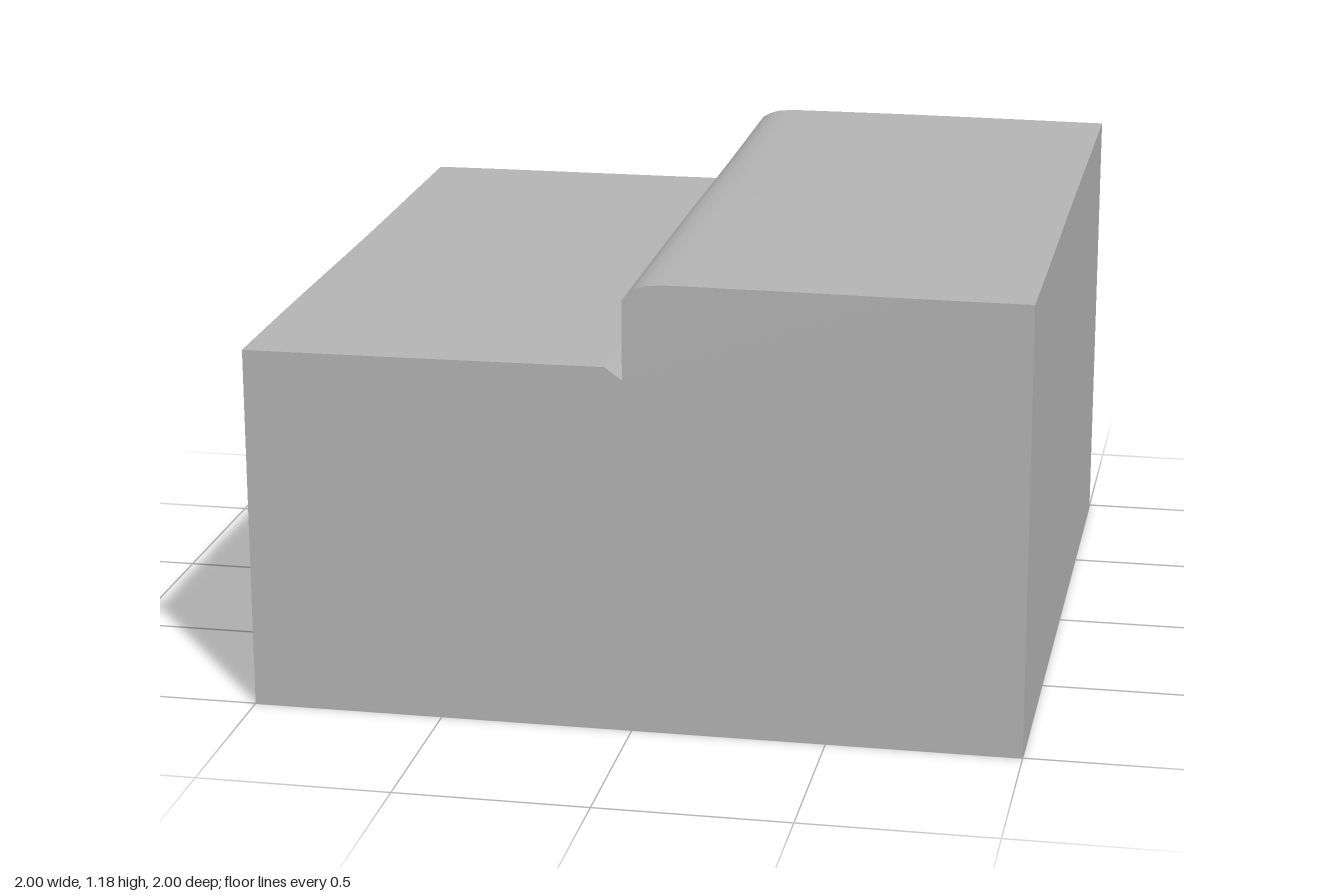
import * as THREE from 'three';
import { toCreasedNormals } from 'three/addons/utils/BufferGeometryUtils.js';

// gentle undulation of the upper surfaces
const wave = (x, z) =>
  0.003 * Math.sin(2.6 * x + 2.2 * z + 0.4) * Math.cos(1.7 * z - 1.3 * x);

export function createModel() {
  const model = new THREE.Group();
  model.name = 'steppedBlock';
  const grey = new THREE.MeshStandardMaterial({ color: 0xb4b4b4 });
  grey.name = 'plain grey';

  // cross-section: base, high deck, rounded lip, wall, groove, low deck
  const points = [[-1, 0], [1, 0]];
  for (let i = 0; i <= 12; i++) points.push([1 - (i / 12) * 0.92, 1.182]);
  points.push([0.04, 1.178], [0.015, 1.17], [-0.005, 1.158], [-0.02, 1.138]);
  points.push([-0.02, 0.933], [-0.065, 0.965]);
  for (let i = 1; i <= 12; i++) {
    const t = i / 12;
    points.push([-0.065 - t * 0.935, 0.965 - 0.006 * t * t]);
  }
  const shape = new THREE.Shape(points.map(([x, y]) => new THREE.Vector2(x, y)));

  // sweep along z, then ripple everything above the base
  const geometry = new THREE.ExtrudeGeometry(shape, { depth: 2, steps: 28, bevelEnabled: false });
  geometry.translate(0, 0, -1);
  const p = geometry.attributes.position;
  for (let i = 0; i < p.count; i++) {
    if (p.getY(i) > 0.5) p.setY(i, p.getY(i) + wave(p.getX(i), p.getZ(i)));
  }
  geometry.clearGroups();
  const block = new THREE.Mesh(toCreasedNormals(geometry, THREE.MathUtils.degToRad(30)), grey);
  block.name = 'steppedGroundBlock';
  model.add(block);
  return model;
}
